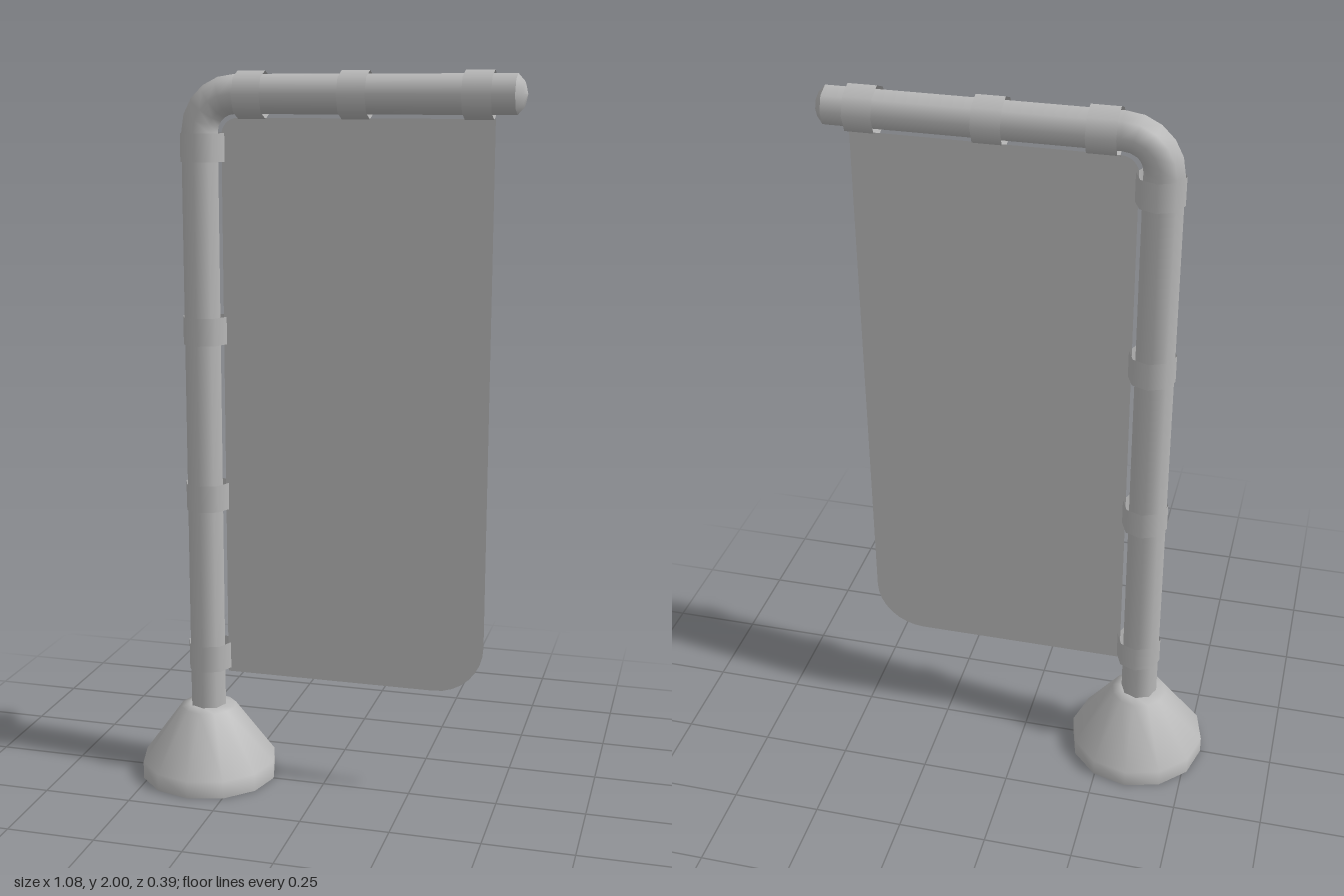
import * as THREE from 'three';

export function createModel() {
  const model = new THREE.Group();
  const metal = new THREE.MeshStandardMaterial({ color: 0xb8b8b8, side: THREE.DoubleSide });
  metal.name = 'plain grey';

  const SIDES = 8;
  const POLE_X = -0.345, BAR_Y = 1.94, R = 0.052, BEND = 0.1;
  const bendX = POLE_X + BEND, bendY = BAR_Y - BEND;

  function add(name, geometry, x = 0, y = 0) {
    const mesh = new THREE.Mesh(geometry, metal);
    mesh.name = name;
    mesh.position.set(x, y, 0);
    model.add(mesh);
    return mesh;
  }
  const lathe = (points, sides) =>
    new THREE.LatheGeometry(points.map(([r, y]) => new THREE.Vector2(r, y)), sides);
  const openTube = (radius, length) =>
    new THREE.CylinderGeometry(radius, radius, length, SIDES, 1, true);

  // Hollow conical foot, open underneath
  add('base', lathe([[0.195, 0], [0.195, 0.05], [0.08, 0.208], [0.05, 0.215], [0, 0.215]], 12), POLE_X);

  // Bent pole: upright, quarter elbow, horizontal arm and domed end
  const poleBottom = 0.21, armEnd = 0.51;
  add('pole', openTube(R, bendY - poleBottom), POLE_X, (bendY + poleBottom) / 2);
  add('elbow', new THREE.TorusGeometry(BEND, R, SIDES, 5, Math.PI / 2).rotateZ(Math.PI / 2), bendX, bendY);
  add('arm', openTube(R, armEnd - bendX).rotateZ(-Math.PI / 2), (armEnd + bendX) / 2, BAR_Y);
  add('armEndCap', lathe([[R, 0], [0.032, 0.018], [0, 0.026]], SIDES).rotateZ(-Math.PI / 2), armEnd, BAR_Y);

  // Thin open bands that hold the cloth
  const RING_R = 0.063, RING_LENGTH = 0.076;
  for (const y of [0.366, 0.837, 1.306, 1.8]) {
    add('poleRing', openTube(RING_R, RING_LENGTH), POLE_X + 0.007, y);
  }
  for (const x of [-0.197, 0.087, 0.413]) {
    add('armRing', openTube(RING_R, RING_LENGTH).rotateZ(-Math.PI / 2), x, BAR_Y - 0.002);
  }

  // Banner sheet with a large rounded lower corner and a small one beside the elbow
  const left = -0.283, right = 0.455, bottom = 0.317, top = 1.878, big = 0.138, small = 0.045;
  const sheet = new THREE.Shape();
  sheet.moveTo(left, bottom);
  sheet.lineTo(right - big, bottom);
  sheet.absarc(right - big, bottom + big, big, -Math.PI / 2, 0, false);
  sheet.lineTo(right, top);
  sheet.lineTo(left + small, top);
  sheet.absarc(left + small, top - small, small, Math.PI / 2, Math.PI, false);
  sheet.closePath();
  add('banner', new THREE.ShapeGeometry(sheet, 4));

  return model;
}
